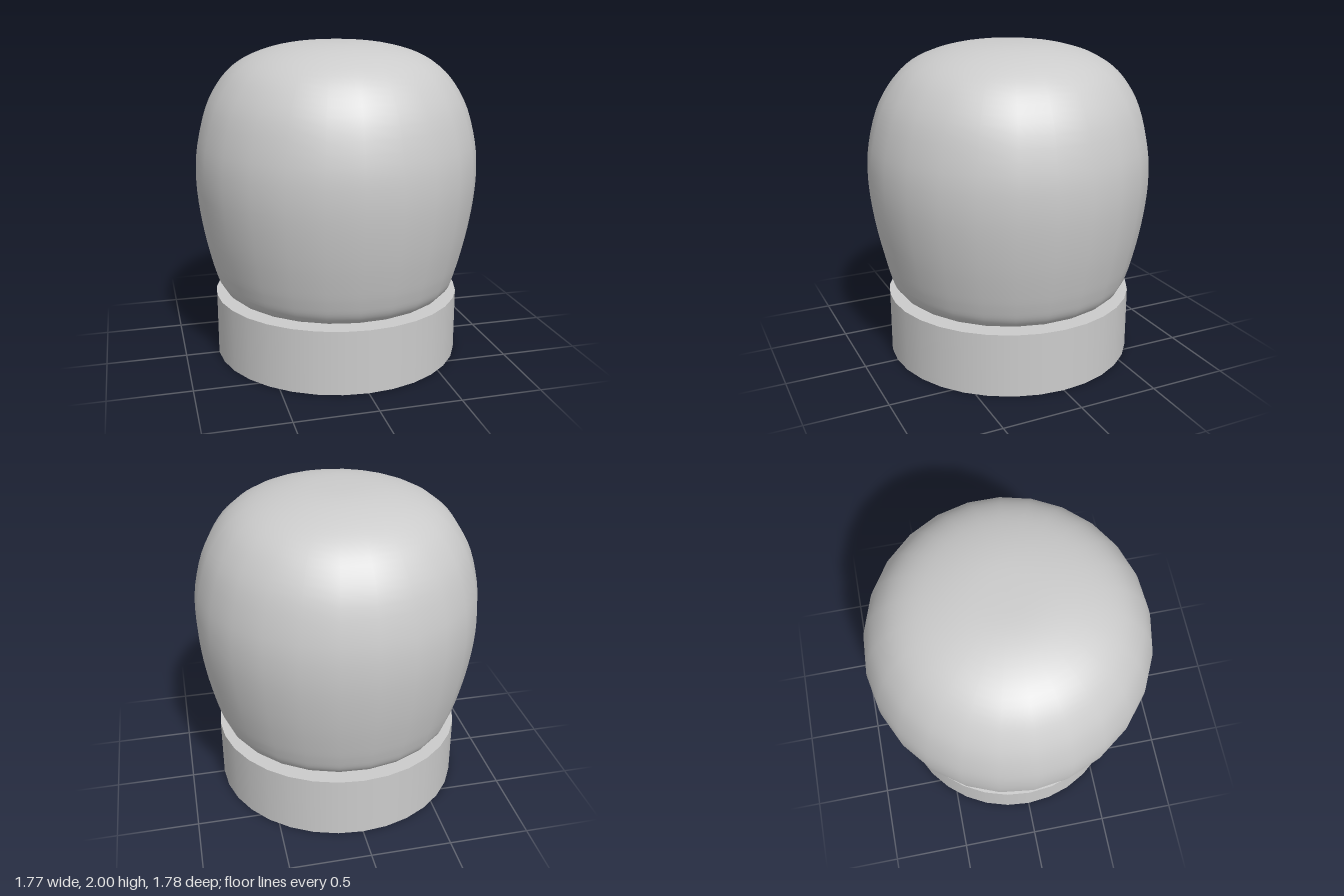
import * as THREE from 'three';

export function createModel() {
  const model = new THREE.Group();
  const grey = new THREE.MeshStandardMaterial({ color: 0xcccccc });

  // Round base plate
  const base = new THREE.Mesh(new THREE.CylinderGeometry(0.787, 0.787, 0.4, 32), grey);
  base.name = 'base';
  base.position.y = 0.2;
  model.add(base);

  // Bulging dome: half profile (radius, height) from underside to crown
  const profile = new THREE.SplineCurve([
    [0.62, 0.395], [0.68, 0.405], [0.725, 0.432], [0.76, 0.48], [0.785, 0.55],
    [0.81, 0.64], [0.85, 0.82], [0.88, 1.02], [0.89, 1.2], [0.875, 1.38],
    [0.82, 1.59], [0.74, 1.74], [0.645, 1.845], [0.52, 1.92], [0.36, 1.97],
    [0.19, 1.995], [0, 2],
  ].map(([r, y]) => new THREE.Vector2(r, y)));
  const points = profile.getPoints(48);
  points[points.length - 1].x = 0;
  const dome = new THREE.Mesh(new THREE.LatheGeometry(points, 25, -Math.PI / 2), grey);
  dome.name = 'dome';
  model.add(dome);

  return model;
}
